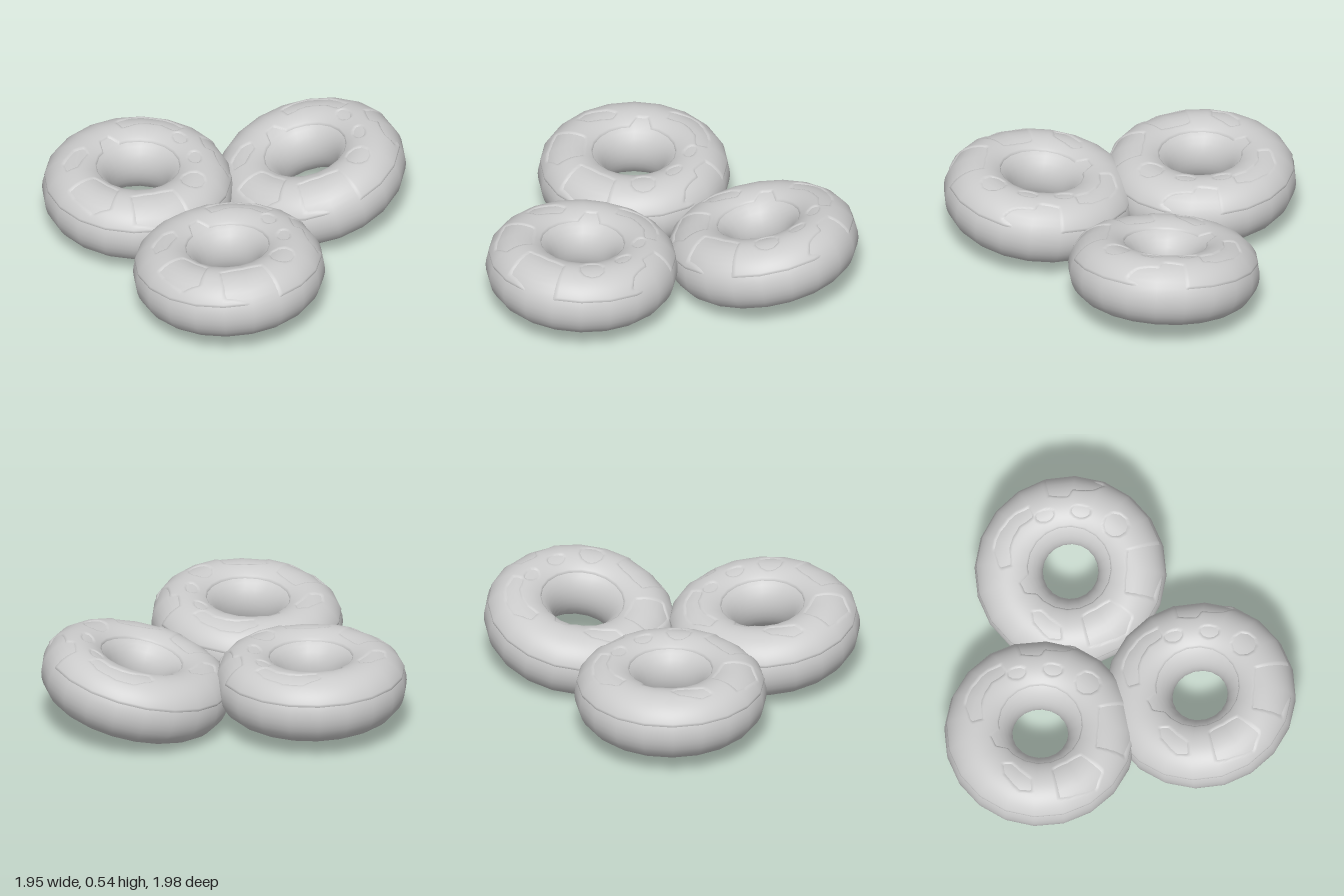
import * as THREE from 'three';

const RING = 0.345, TUBE = 0.19, SIDES = 20;
const rad = THREE.MathUtils.degToRad;

// Bare patches in the icing, as outlines in plan (x, z)
const oval = (x, z, rx, rz, turn = 0) => Array.from({ length: 10 }, (_, i) => {
  const a = (i / 10) * Math.PI * 2, u = rx * Math.cos(a), v = rz * Math.sin(a);
  return [x + u * Math.cos(turn) - v * Math.sin(turn), z + u * Math.sin(turn) + v * Math.cos(turn)];
});
const patches = [
  [[.10, -.37], [.21, -.38], [.30, -.32], [.37, -.21], [.38, -.13], [.33, -.12], [.30, -.20], [.25, -.26], [.18, -.30], [.10, -.31]],
  oval(.315, -.055, .03, .05),
  oval(.285, .145, .032, .052, 0.4),
  oval(.16, .315, .065, .065),
  [[.42, 0], [.58, 0], [.58, .1], [.47, .24], [.40, .30], [.39, .25], [.42, .13], [.39, .10]],
  [[-.22, .27], [0, .345], [0, .6], [-.14, .6], [-.17, .49], [-.28, .41]],
  [[-.45, 0], [-.29, 0], [-.25, .17], [-.36, .26], [-.44, .21], [-.46, .06]],
  [[-.38, -.15], [-.36, -.21], [-.25, -.27], [-.19, -.26], [-.20, -.22], [-.32, -.14]],
  [[-.09, -.22], [-.07, -.275], [-.015, -.285], [.02, -.235], [.02, -.15], [-.09, -.15]],
];

// Signed distance to an outline, negative inside
function distance(poly, x, z) {
  let best = Infinity, inside = false;
  poly.forEach(([ax, az], i) => {
    const [bx, bz] = poly[(i + 1) % poly.length];
    const dx = bx - ax, dz = bz - az;
    const t = THREE.MathUtils.clamp(((x - ax) * dx + (z - az) * dz) / (dx * dx + dz * dz), 0, 1);
    best = Math.min(best, Math.hypot(x - ax - t * dx, z - az - t * dz));
    if ((az > z) !== (bz > z) && x < ax + ((z - az) / dz) * dx) inside = !inside;
  });
  return inside ? -best : best;
}

// Thin coat over the top of the ring; it sinks below the dough at patches and edges
function icingGeometry() {
  const around = 240, across = 44, from = rad(22), to = rad(127);
  const pos = [], index = [];
  for (let i = 0; i < around; i++) {
    const a = (i / around) * Math.PI * 2;
    for (let j = 0; j <= across; j++) {
      const p = from + ((to - from) * j) / across;
      const r = RING + TUBE * Math.cos(p), x = r * Math.cos(a), z = r * Math.sin(a);
      let d = Math.min(p - from, to - p) * TUBE;
      for (const poly of patches) d = Math.min(d, distance(poly, x, z));
      const t = TUBE - 0.006 + 0.012 * THREE.MathUtils.smoothstep(d, -0.008, 0.01);
      const q = RING + t * Math.cos(p);
      pos.push(q * Math.cos(a), t * Math.sin(p), q * Math.sin(a));
      if (j < across) {
        const k = i * (across + 1) + j, n = ((i + 1) % around) * (across + 1) + j;
        index.push(k, k + 1, n, n, k + 1, n + 1);
      }
    }
  }
  const g = new THREE.BufferGeometry();
  g.setAttribute('position', new THREE.Float32BufferAttribute(pos, 3));
  g.setIndex(index);
  g.computeVertexNormals();
  // Follow the straight sides of the dough while keeping smooth normals
  const P = g.attributes.position, step = (Math.PI * 2) / SIDES;
  for (let i = 0; i < P.count; i++) {
    const a = (Math.floor(i / (across + 1)) / around) * Math.PI * 2;
    const s = Math.cos(step / 2) / Math.cos((a % step) - step / 2);
    P.setX(i, P.getX(i) * s);
    P.setZ(i, P.getZ(i) * s);
  }
  return g;
}

export function createModel() {
  const group = new THREE.Group();
  group.name = 'doughnuts';
  const material = new THREE.MeshStandardMaterial({ color: 0xcccccc });
  const doughGeo = new THREE.TorusGeometry(RING, TUBE, 32, SIDES).rotateX(-Math.PI / 2);
  const icingGeo = icingGeometry();

  const addDoughnut = (name, x, y, z, tiltX, tiltZ) => {
    const ring = new THREE.Group();
    ring.name = name;
    const dough = new THREE.Mesh(doughGeo, material);
    dough.name = 'dough';
    const icing = new THREE.Mesh(icingGeo, material);
    icing.name = 'icing';
    ring.add(dough, icing);
    ring.position.set(x, y, z);
    ring.rotation.set(tiltX, 0, tiltZ);
    group.add(ring);
  };
  // One lies flat, the other two lean on their neighbours
  addDoughnut('backDoughnut', -0.445, 0.272, -0.46, 0, 0);
  addDoughnut('frontDoughnut', -0.445, 0.272, 0.457, -0.1, 0);
  addDoughnut('leftDoughnut', 0.445, 0.268, -0.06, -0.1, 0.2);
  return group;
}
